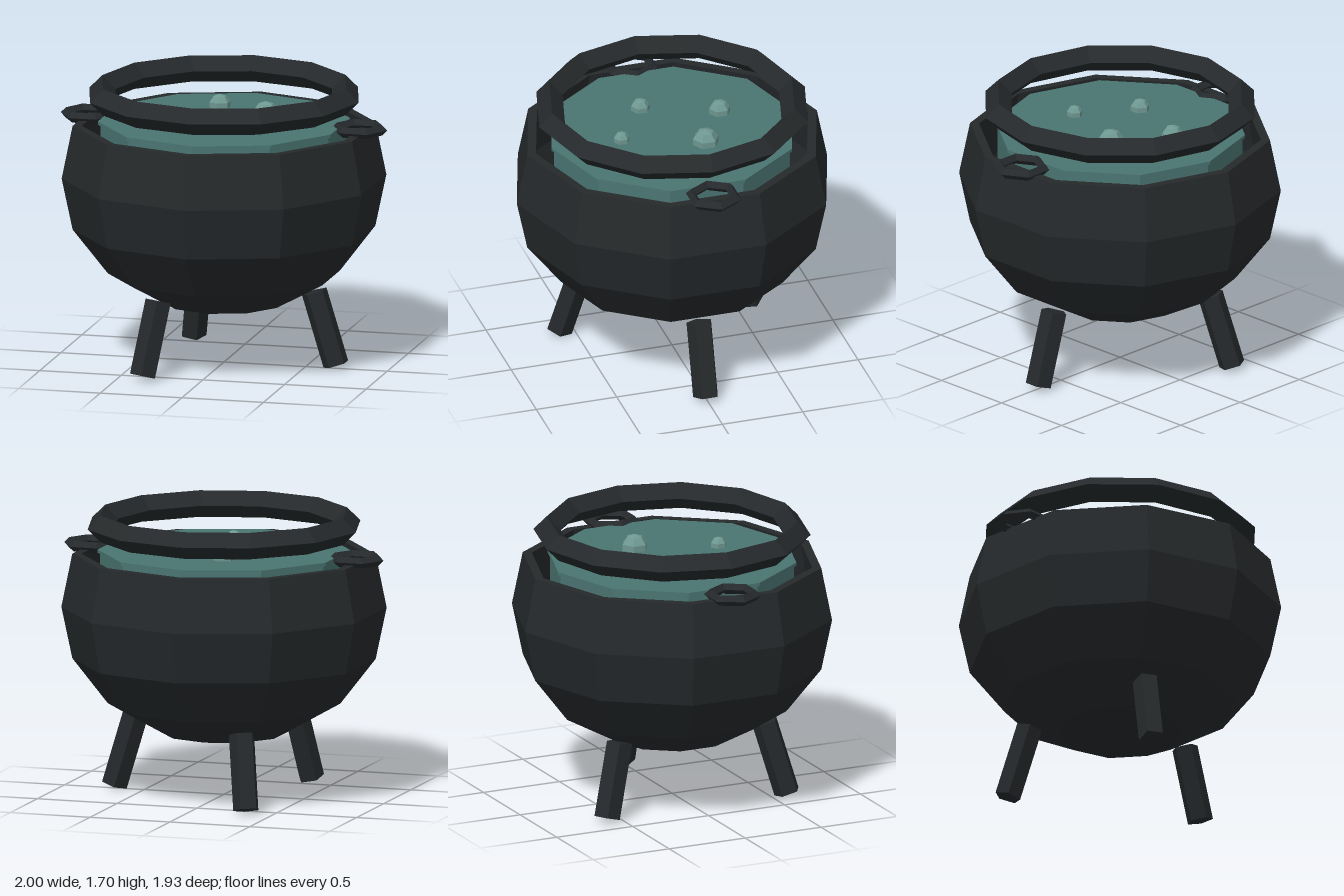
import * as THREE from 'three';

const material = (color, extra = {}) => new THREE.MeshStandardMaterial({ color, flatShading: true, ...extra });

export function createModel() {
  const model = new THREE.Group();
  const iron = material(0x25292b);
  const brew = material(0x4a7572);
  const froth = material(0x6f9892);

  const add = (name, geometry, mat, parent = model) => {
    const mesh = new THREE.Mesh(geometry, mat);
    mesh.name = name;
    parent.add(mesh);
    return mesh;
  };

  // Ten-sided pot: outer wall, flat rim, inner wall
  const profile = [
    [0, 0.31], [0.37, 0.375], [0.69, 0.55], [0.9, 0.82], [0.965, 1.13], [0.9, 1.45],
    [0.845, 1.45], [0.9, 1.13], [0.84, 0.84], [0.64, 0.6], [0, 0.4],
  ].map(([r, y]) => new THREE.Vector2(r, y));
  add('pot', new THREE.LatheGeometry(profile, 10), iron);

  // Liquid with a slightly wider surface layer
  add('liquid', new THREE.CylinderGeometry(0.735, 0.735, 0.25, 10), brew).position.y = 1.33;
  add('liquidSurface', new THREE.CylinderGeometry(0.75, 0.75, 0.02, 10), brew).position.y = 1.465;

  // Bubbles: x, z, radius
  const bubbles = [[-0.11, -0.33, 0.068], [0.22, -0.14, 0.083], [-0.28, 0.11, 0.06], [0.05, 0.33, 0.05]];
  for (const [x, z, r] of bubbles) {
    const bubble = add('bubble', new THREE.SphereGeometry(r, 6, 5), froth);
    bubble.position.set(x, 1.487, z);
    bubble.rotation.y = Math.PI / 6;
  }

  // Upper ring above the rim, diamond in section
  const ring = add('upperRing', new THREE.TorusGeometry(0.745, 0.08, 4, 12), iron);
  ring.rotation.x = Math.PI / 2;
  ring.position.y = 1.625;

  // Hexagonal side handles
  for (const side of [-1, 1]) {
    const handle = add(side > 0 ? 'leftHandle' : 'rightHandle', new THREE.TorusGeometry(0.138, 0.032, 4, 6), iron);
    handle.rotation.x = Math.PI / 2;
    handle.position.set(side * 0.83, 1.465, 0);
  }

  // Three splayed five-sided legs
  for (let i = 0; i < 3; i++) {
    const pivot = new THREE.Group();
    pivot.name = 'legMount';
    pivot.rotation.y = (i * 2 * Math.PI) / 3;
    model.add(pivot);
    const leg = add('leg', new THREE.CylinderGeometry(0.08, 0.08, 0.455, 5).rotateY(-Math.PI / 2), iron, pivot);
    leg.position.set(0.62, 0.243, 0);
    leg.rotation.z = 0.295;
  }

  return model;
}
